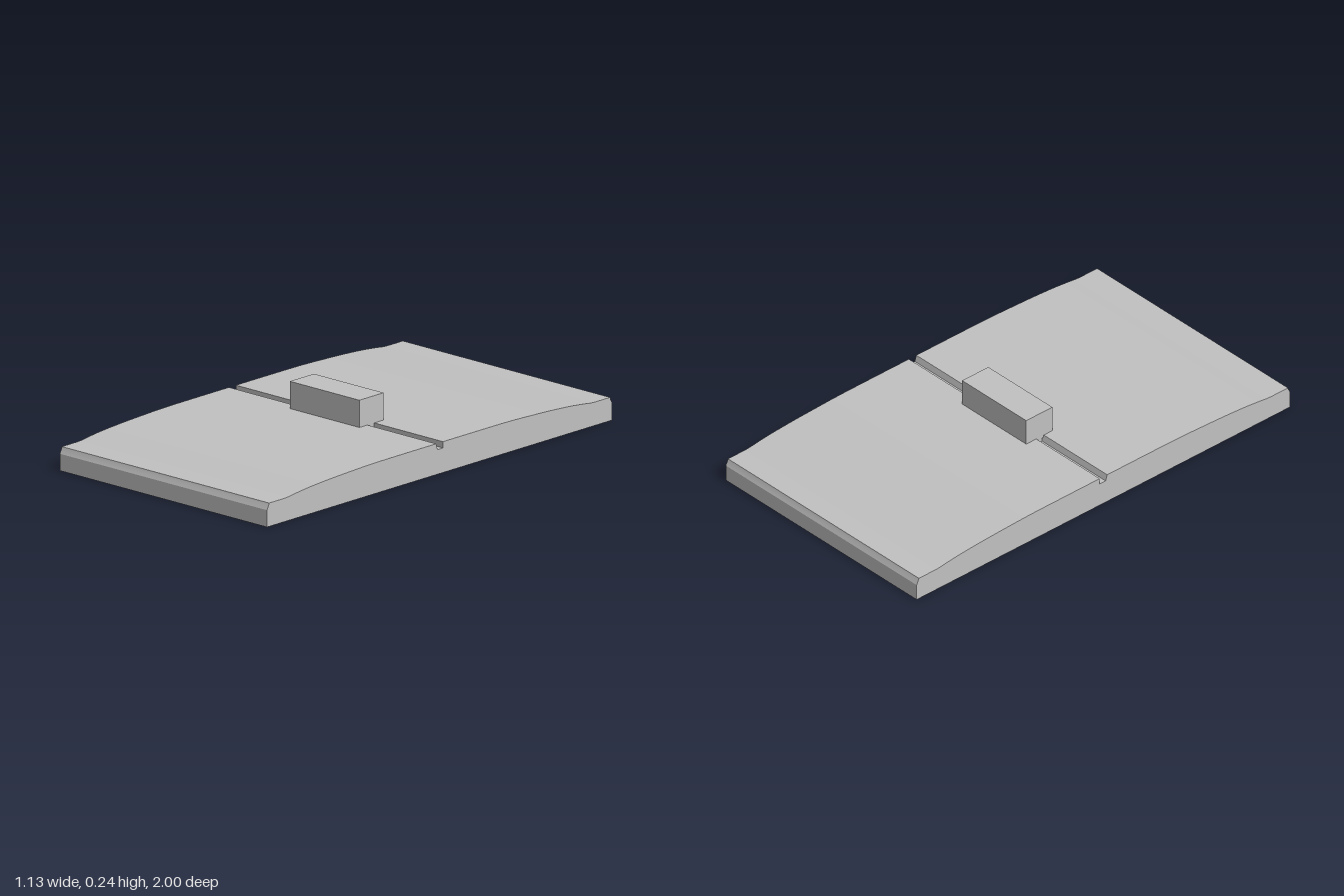
import * as THREE from 'three';
import { toCreasedNormals } from 'three/addons/utils/BufferGeometryUtils.js';

const WIDTH = 1.126;

export function createModel() {
  const model = new THREE.Group();
  model.name = 'crownedSlab';
  const grey = new THREE.MeshStandardMaterial({ color: 0xc0c0c0 });
  grey.name = 'plain grey';

  // Gently crowned top, from the middle out to one end
  const crown = new THREE.CatmullRomCurve3([
    [0.02, 0.128], [0.2, 0.128], [0.4, 0.127], [0.53, 0.123], [0.65, 0.118],
    [0.76, 0.111], [0.83, 0.104], [0.88, 0.098], [0.93, 0.097], [0.988, 0.097],
  ].map(([z, y]) => new THREE.Vector3(z, y, 0)));
  const half = crown.getPoints(40);

  // Side profile with a chamfered lip at both ends and a groove across the middle
  const profile = [new THREE.Vector2(-1, 0), new THREE.Vector2(1, 0), new THREE.Vector2(1, 0.07), new THREE.Vector2(0.99, 0.09)];
  for (const p of [...half].reverse()) profile.push(new THREE.Vector2(p.x, p.y));
  profile.push(new THREE.Vector2(0.012, 0.102), new THREE.Vector2(-0.02, 0.102));
  for (const p of half) profile.push(new THREE.Vector2(-p.x, p.y));
  profile.push(new THREE.Vector2(-0.99, 0.09), new THREE.Vector2(-1, 0.07));

  const slabGeometry = new THREE.ExtrudeGeometry(new THREE.Shape(profile), { depth: WIDTH, bevelEnabled: false });
  slabGeometry.translate(0, 0, -WIDTH / 2).rotateY(-Math.PI / 2);
  const slab = new THREE.Mesh(toCreasedNormals(slabGeometry, 0.3), grey);
  slab.name = 'slab';
  model.add(slab);

  // Raised block seated over the groove
  const block = new THREE.Mesh(new THREE.BoxGeometry(0.378, 0.124, 0.14), grey);
  block.position.set(0, 0.179, -0.004);
  block.name = 'block';
  // Tongue holding the block in the groove
  const tongue = new THREE.Mesh(new THREE.BoxGeometry(0.376, 0.024, 0.03), grey);
  tongue.position.set(0, 0.114, -0.004);
  tongue.name = 'tongue';
  model.add(block, tongue);
  return model;
}
